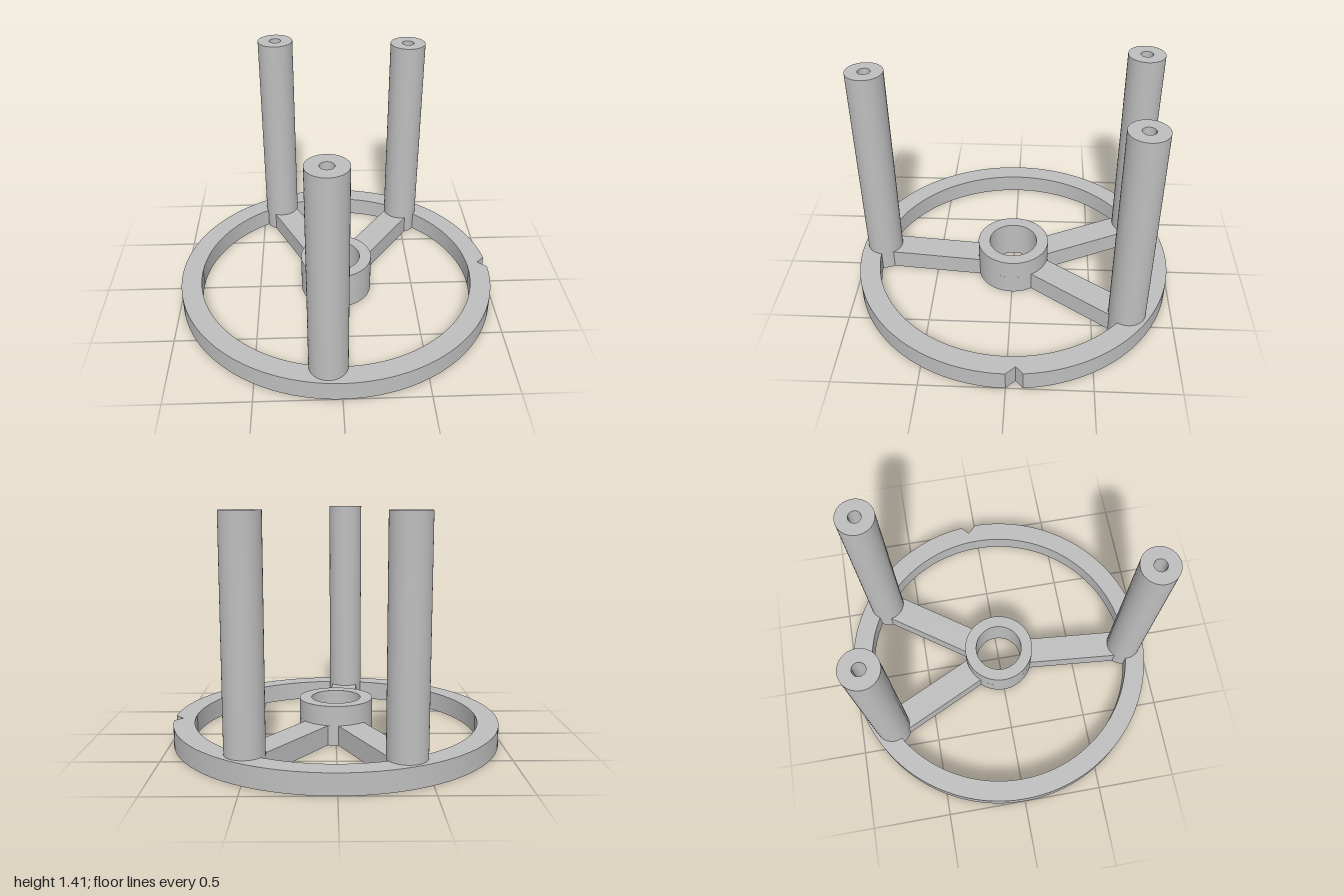
import * as THREE from 'three';
import { toCreasedNormals } from 'three/addons/utils/BufferGeometryUtils.js';

const RIM_OUT = 1, RIM_IN = 0.872, BASE_H = 0.122;
const HUB_OUT = 0.226, HUB_IN = 0.152, HUB_H = 0.242;
const POST_R = 0.113, POST_BORE = 0.038, POST_TOP = 1.412, BORE_DEPTH = 0.3, POST_DIST = 0.866;
const SPOKE_HALF = 0.085;
const angles = [55.1, 115.2, 265].map(THREE.MathUtils.degToRad);

export function createModel() {
  const group = new THREE.Group();
  const grey = new THREE.MeshStandardMaterial({ color: 0xbebebe });
  grey.name = 'grey';

  const add = (name, geometry) => {
    const mesh = new THREE.Mesh(toCreasedNormals(geometry, 0.5), grey);
    mesh.name = name;
    group.add(mesh);
    return mesh;
  };
  const lathe = (profile, segments) =>
    new THREE.LatheGeometry(profile.map(([x, y]) => new THREE.Vector2(x, y)), segments);

  // Flat wheel: notched rim, three spokes and hub base in one plate
  const wheel = new THREE.Shape();
  wheel.absarc(0, 0, RIM_OUT, Math.asin(0.1), Math.PI * 2, false);
  wheel.lineTo(0.945, 0.055);
  wheel.closePath();

  // Openings between neighbouring spokes
  const rimOffset = Math.asin(SPOKE_HALF / RIM_IN);
  const hubOffset = Math.asin(SPOKE_HALF / HUB_OUT);
  angles.forEach((a, i) => {
    const b = i < 2 ? angles[i + 1] : angles[0] + Math.PI * 2;
    const opening = new THREE.Path();
    opening.absarc(0, 0, RIM_IN, a + rimOffset, b - rimOffset, false);
    opening.absarc(0, 0, HUB_OUT, b - hubOffset, a + hubOffset, true);
    opening.closePath();
    wheel.holes.push(opening);
  });
  const bore = new THREE.Path();
  bore.absarc(0, 0, HUB_IN, 0, Math.PI * 2, true);
  wheel.holes.push(bore);

  const plate = new THREE.ExtrudeGeometry(wheel, { depth: BASE_H, bevelEnabled: false, curveSegments: 72 });
  plate.rotateX(-Math.PI / 2);
  add('spokedWheel', plate);

  // Raised collar around the hub bore
  add('hubCollar', lathe([
    [HUB_OUT, BASE_H], [HUB_OUT, HUB_H], [HUB_IN, HUB_H], [HUB_IN, BASE_H],
  ], 72));

  // Upright posts with a blind hole in the top
  angles.forEach((a, i) => {
    const post = add('post' + (i + 1), lathe([
      [0, 0], [POST_R, 0], [POST_R, POST_TOP], [POST_BORE, POST_TOP],
      [POST_BORE, POST_TOP - BORE_DEPTH], [0, POST_TOP - BORE_DEPTH],
    ], 48));
    post.position.set(POST_DIST * Math.cos(a), 0, -POST_DIST * Math.sin(a));
  });

  return group;
}
